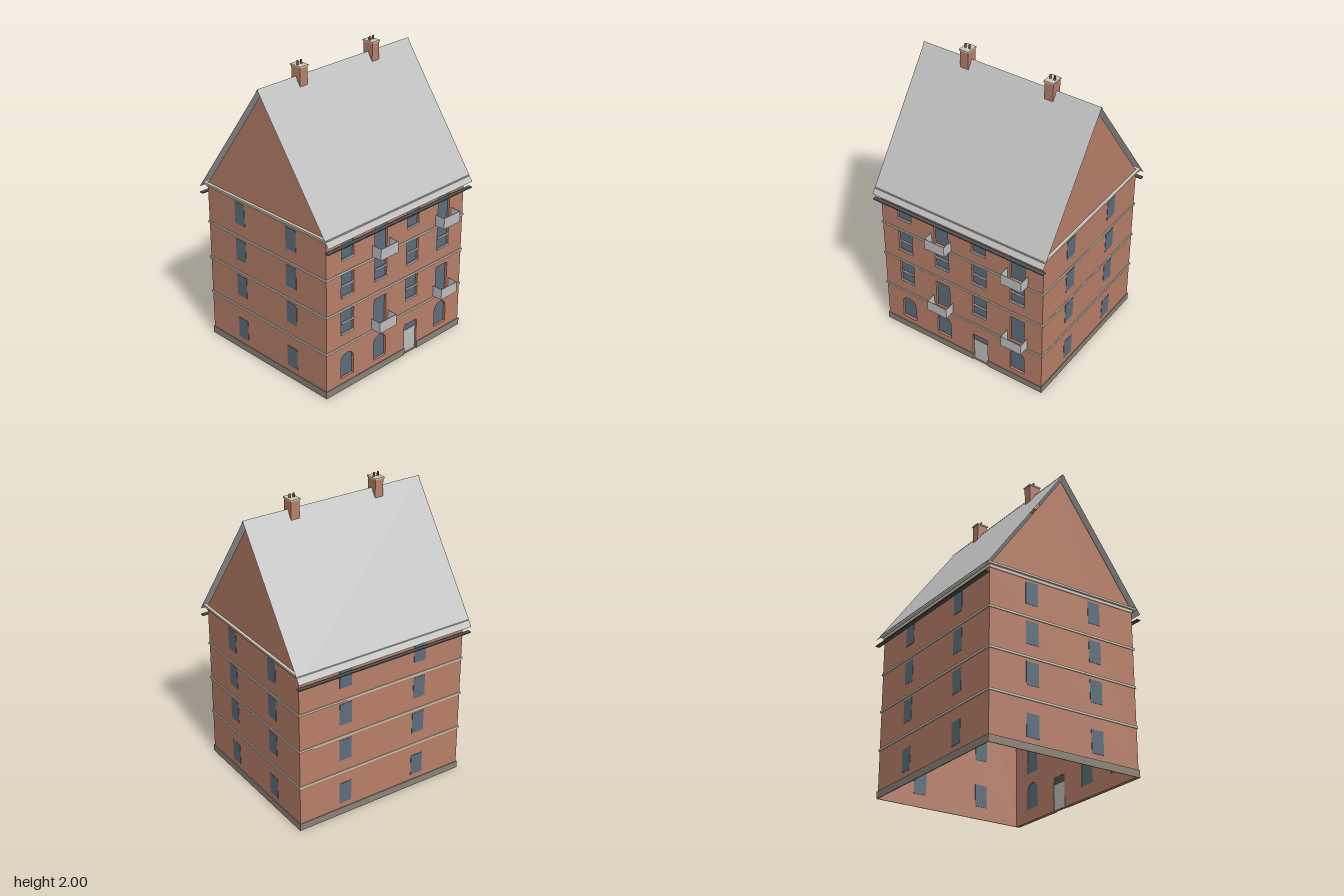
import * as THREE from 'three';

const mat = (name, color, side = THREE.FrontSide) => {
  const m = new THREE.MeshStandardMaterial({ color, side });
  m.name = name;
  return m;
};

export function createModel() {
  const house = new THREE.Group();
  house.name = 'townHouse';

  const brick = mat('brick', 0xb87f69, THREE.DoubleSide);
  const grey = mat('lightGrey', 0xbfbfbf, THREE.DoubleSide);
  const glass = mat('glass', 0x5c6e7c, THREE.DoubleSide);
  const trim = mat('trimStone', 0xcdc7b7);
  const stone = mat('plinthStone', 0x8a8378);
  const dark = mat('darkMetal', 0x50504e);
  const clay = mat('clayPot', 0x8a5038);

  // Main dimensions
  const W = 0.616, ZF = 0.527, ZB = -0.548, ZC = -0.0115, EAVE = 1.11;
  const RIDGE = 1.9, SLOPE = 1.4, RECESS = 0.02;

  const add = (name, geo, m, x = 0, y = 0, z = 0, parent = house) => {
    const mesh = new THREE.Mesh(geo, m);
    mesh.name = name;
    mesh.position.set(x, y, z);
    parent.add(mesh);
    return mesh;
  };
  // Box given by its minimum and maximum corners
  const box = (name, m, x0, x1, y0, y1, z0, z1, parent) =>
    add(name, new THREE.BoxGeometry(x1 - x0, y1 - y0, z1 - z0), m,
      (x0 + x1) / 2, (y0 + y1) / 2, (z0 + z1) / 2, parent);
  const outline = (pts) => new THREE.Shape(pts.map(([x, y]) => new THREE.Vector2(x, y)));
  const rect = (x0, x1, y0, y1) => outline([[x0, y0], [x1, y0], [x1, y1], [x0, y1]]);
  const arch = (cx, r, y0, spring) => {
    const s = new THREE.Shape();
    s.moveTo(cx - r, y0).lineTo(cx + r, y0).lineTo(cx + r, spring);
    s.absarc(cx, spring, r, 0, Math.PI, false);
    s.closePath();
    return s;
  };

  // Front openings
  const cols = [-0.437, -0.148, 0.14, 0.429];
  const hw = 0.054;
  const openings = [], bars = [], balconies = [];
  cols.forEach((x, i) => {
    if (i !== 2) openings.push(arch(x, 0.055, 0.085, 0.203));
    [[0.405, 0.572, 0.33, 0.535], [0.665, 0.832], [0.925, 1.085, 0.85, 1.055]].forEach(([y0, y1, d0, d1], row) => {
      const hasBalcony = i % 2 === 1 && row !== 1;
      if (hasBalcony) {
        openings.push(rect(x - hw, x + hw, d0, d1));
        balconies.push([x, d0]);
      } else {
        openings.push(rect(x - hw, x + hw, y0, y1));
        bars.push([x, y0 + 0.082], [x, y0 + 0.003]);
      }
    });
  });
  const door = { x0: 0.083, x1: 0.2, y0: 0.004, y1: 0.222 };

  // Front wall with recessed panes
  const front = rect(-W, W, 0, EAVE);
  front.holes.push(...openings, rect(door.x0, door.x1, door.y0, door.y1));
  add('frontWall', new THREE.ExtrudeGeometry(front, { depth: RECESS, bevelEnabled: false, curveSegments: 10 }),
    brick, 0, 0, ZF - RECESS);
  openings.forEach((s) => add('frontWindowPane', new THREE.ShapeGeometry(s, 10), glass, 0, 0, ZF - RECESS + 0.004));
  bars.forEach(([x, y]) => box('windowBar', grey, x - hw, x + hw, y - 0.006, y + 0.006, ZF - 0.004, ZF + 0.006));

  // Entrance door with a transom light
  box('door', grey, door.x0 + 0.005, door.x1 - 0.003, door.y0, 0.172, ZF - 0.018, ZF - 0.01);
  box('transomFrame', dark, door.x0, door.x1, 0.172, door.y1, ZF - 0.018, ZF - 0.012);
  box('transomPane', glass, door.x0 + 0.008, door.x1 - 0.008, 0.178, 0.215, ZF - 0.014, ZF - 0.009);

  // Back wall and gabled side walls
  add('backWall', new THREE.ShapeGeometry(rect(-W, W, 0, EAVE)), brick, 0, 0, ZB).rotation.y = 0;
  for (const s of [-1, 1]) {
    const gable = outline([[-ZF, 0], [-ZB, 0], [-ZB, EAVE], [-ZC, 1.865], [-ZF, EAVE]]);
    add('gableWall', new THREE.ShapeGeometry(gable), brick, s * W).rotation.y = Math.PI / 2;
  }

  // Flush windows on the sides and back
  for (const y of [0.085, 0.405, 0.665, 0.925]) {
    for (const s of [-1, 1]) {
      for (const z of [0.221, -0.245])
        box('sideWindow', glass, s * W - 0.002, s * W + 0.002, y, y + 0.148, z - 0.045, z + 0.045);
      box('backWindow', glass, s * 0.28 - 0.045, s * 0.28 + 0.045, y, y + 0.148, ZB - 0.002, ZB + 0.002);
    }
  }

  // Trim courses running round the house
  const course = (name, y0, y1, ox, oz) => {
    const s = rect(-W - ox, W + ox, -ZF - oz, -ZB + oz);
    const e = 0.001;
    s.holes.push(rect(-W - e, W + e, -ZF - e, -ZB + e));
    const g = new THREE.ExtrudeGeometry(s, { depth: y1 - y0, bevelEnabled: false });
    add(name, g.rotateX(-Math.PI / 2), trim, 0, y0);
  };
  for (const y of [0.319, 0.58, 0.838]) course('stringCourse', y - 0.007, y + 0.007, 0.007, 0.006);
  course('cornice', 1.088, 1.107, 0.006, 0.006);
  course('corniceSlab', 1.107, 1.12, 0.02, 0.024);

  // Plinth, broken at the door
  const p = 0.006, ph = 0.048;
  box('plinthFront', stone, -W - p, door.x0, 0, ph, ZF + 0.001, ZF + p);
  box('plinthFront', stone, door.x1, W + p, 0, ph, ZF + 0.001, ZF + p);
  box('plinthBack', stone, -W - p, W + p, 0, ph, ZB - p, ZB - 0.001);
  box('plinthSide', stone, W + 0.001, W + p, 0, ph, ZB - p, ZF + p);
  box('plinthSide', stone, -W - p, -W - 0.001, 0, ph, ZB - p, ZF + p);

  // Balconies: open boxes of thin panels
  for (const [x, y] of balconies) {
    const b = new THREE.Group();
    b.name = 'balcony';
    house.add(b);
    const h = 0.077, t = 0.003, r = 0.076;
    box('balconyFront', grey, x - r, x + r, y, y + h, 0.597, 0.6, b);
    for (const s of [-1, 1]) {
      const cx = x + s * (r - t / 2);
      box('balconySide', grey, cx - t / 2, cx + t / 2, y, y + h, ZF, 0.597, b);
    }
  }

  // Thin sheet sloping from the ridge line down to one side
  const sheet = (name, run, top, dir, m) => {
    const g = new THREE.PlaneGeometry(1.288, 1);
    const pos = g.attributes.position;
    for (let i = 0; i < pos.count; i++) {
      const r = (0.5 - pos.getY(i)) * run;
      pos.setXYZ(i, pos.getX(i) * dir, top - r * SLOPE, ZC + dir * r);
    }
    g.computeVertexNormals();
    add(name, g, m);
  };
  for (const dir of [1, -1]) {
    sheet('roofSlope', 0.586, RIDGE, dir, grey);
    sheet('ridgeCap', 0.014, RIDGE + 0.006, dir, grey);
    const z = ZC + dir * 0.572;
    box('gutter', dark, -0.644, 0.644, 1.037, 1.043, z - 0.014, z + 0.014);
  }

  // Chimneys with caps and pots
  for (const x of [-0.309, 0.305]) {
    const c = new THREE.Group();
    c.name = 'chimney';
    house.add(c);
    box('chimneyStack', brick, x - 0.03, x + 0.03, 1.8, 1.965, ZC - 0.038, ZC + 0.038, c);
    box('chimneyCap', trim, x - 0.034, x + 0.034, 1.965, 1.975, ZC - 0.043, ZC + 0.043, c);
    for (const s of [-1, 1])
      add('chimneyPot', new THREE.CylinderGeometry(0.006, 0.007, 0.025, 10), clay, x + s * 0.015, 1.9875, ZC, c);
  }

  return house;
}
